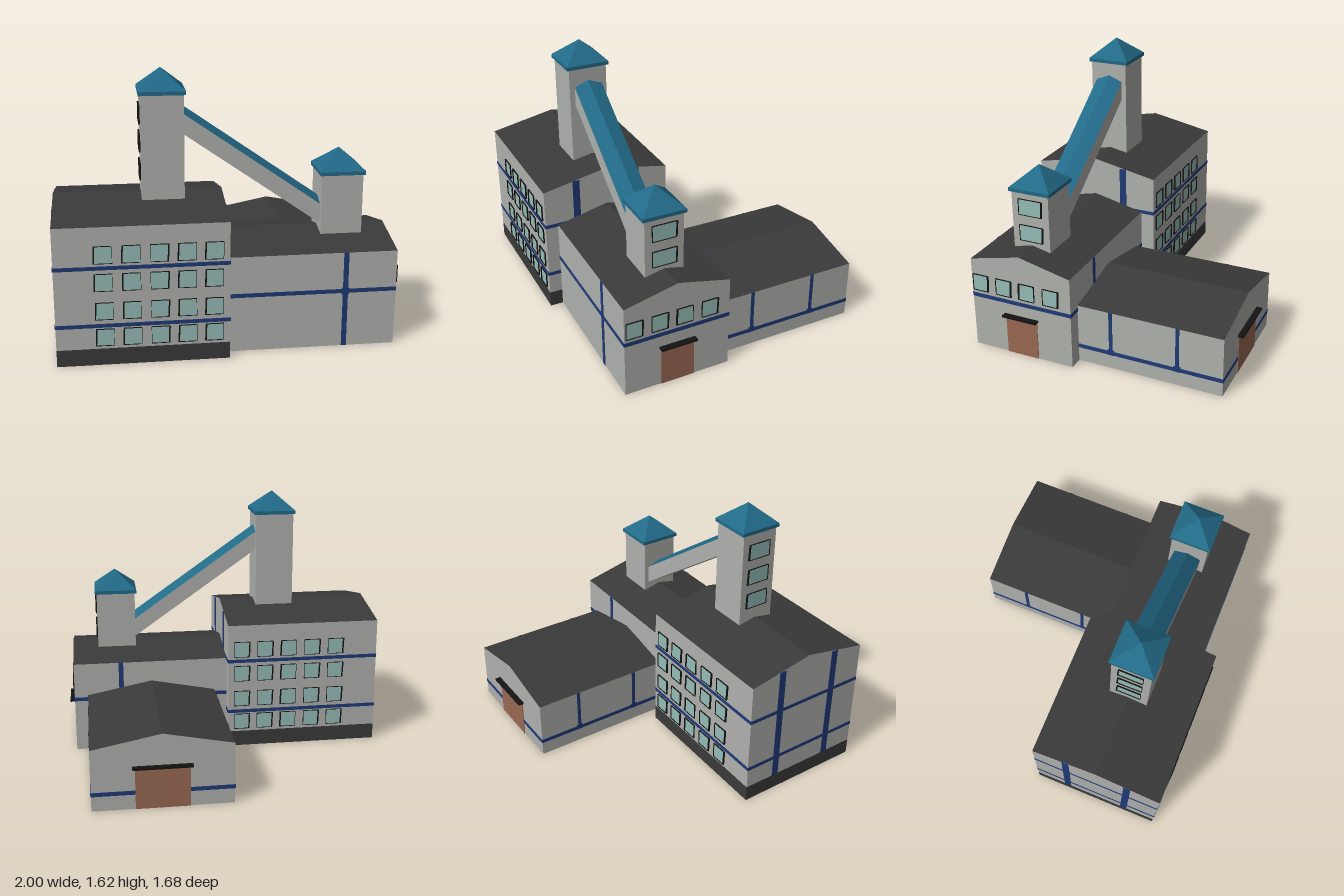
import * as THREE from 'three';

const mat = (name, color, side = THREE.FrontSide) => {
  const m = new THREE.MeshStandardMaterial({ color, side });
  m.name = name;
  return m;
};

export function createModel() {
  const root = new THREE.Group();
  root.name = 'factory';
  const wall = mat('wall grey', 0xb0b2ae, THREE.DoubleSide);
  const dark = mat('roof charcoal', 0x3a3a3a, THREE.DoubleSide);
  const teal = mat('roof teal', 0x226a88, THREE.DoubleSide);
  const blue = mat('stripe blue', 0x1f3a78);
  const glass = mat('window glass', 0x95bdb7);
  const brown = mat('door brown', 0x9a6853);
  const black = mat('frame black', 0x141414);

  const add = (parent, name, geo, material) => {
    const m = new THREE.Mesh(geo, material);
    m.name = name;
    parent.add(m);
    return m;
  };
  // Box given by its minimum and maximum corners
  const box = (parent, name, material, a, b) => {
    const s = a.map((v, i) => b[i] - v);
    const m = add(parent, name, new THREE.BoxGeometry(...s), material);
    m.position.set(...a.map((v, i) => (v + b[i]) / 2));
    return m;
  };
  // Flat-shaded surface from convex polygons
  const polys = (faces) => {
    const out = [];
    for (const f of faces)
      for (let i = 1; i < f.length - 1; i++) out.push(...f[0], ...f[i], ...f[i + 1]);
    const g = new THREE.BufferGeometry();
    g.setAttribute('position', new THREE.Float32BufferAttribute(out, 3));
    g.computeVertexNormals();
    return g;
  };

  // Open-bottomed hall with its ridge along local x
  const hall = (name, len, width, eave, ridge, base, ends) => {
    const g = new THREE.Group();
    g.name = name;
    root.add(g);
    const l = len / 2, w = width / 2;
    const sides = (lo, hi) => [
      [[-l, lo, w], [l, lo, w], [l, hi, w], [-l, hi, w]],
      [[l, lo, -w], [-l, lo, -w], [-l, hi, -w], [l, hi, -w]],
    ];
    const faces = sides(base, eave);
    const plinth = sides(0, base);
    for (const s of ends) {
      faces.push([[s * l, base, s * w], [s * l, base, -s * w], [s * l, eave, -s * w],
        [s * l, ridge, 0], [s * l, eave, s * w]]);
      plinth.push([[s * l, 0, s * w], [s * l, 0, -s * w], [s * l, base, -s * w], [s * l, base, s * w]]);
    }
    add(g, name + 'Walls', polys(faces), wall);
    if (base > 0) add(g, name + 'Plinth', polys(plinth), dark);
    add(g, name + 'Roof', polys([
      [[-l, eave, w], [l, eave, w], [l, ridge, 0], [-l, ridge, 0]],
      [[l, eave, -w], [-l, eave, -w], [-l, ridge, 0], [l, ridge, 0]],
    ]), dark);
    return g;
  };

  const T = 0.003; // half thickness of painted strips
  const stripX = (p, x0, x1, y0, y1, z) => box(p, 'stripe', blue, [x0, y0, z - T], [x1, y1, z + T]);
  const stripZ = (p, x, y0, y1, z0, z1) => box(p, 'stripe', blue, [x - T, y0, z0], [x + T, y1, z1]);

  // Window facing local +z; hinge is the side with the heavier frame bar
  const window_ = (x, y, z, turn, w, h, hinge) => {
    const g = new THREE.Group();
    g.name = 'window';
    g.position.set(x, y, z);
    g.rotation.y = turn;
    root.add(g);
    box(g, 'windowPane', glass, [-w / 2, -h / 2, -T], [w / 2, h / 2, T]);
    for (const s of [-1, 1]) {
      box(g, 'frameRail', black, [-w / 2, s * h / 2 - 0.001, 0], [w / 2, s * h / 2 + 0.001, 0.009]);
      const t = s === hinge ? 0.004 : 0.001;
      const post = box(g, 'framePost', black, [s * w / 2 - t, -h / 2, 0], [s * w / 2 + t, h / 2, 0.009]);
      if (s === hinge) post.rotation.z = -0.04;
    }
  };

  // Tall mill: plinth, two belts all round, two uprights on each gable
  const mill = hall('mill', 0.98, 0.82, 0.82, 0.9, 0.1, [-1, 1]);
  mill.position.set(-0.51, 0, 0.42);
  for (const y of [0.24, 0.582]) {
    for (const s of [-1, 1]) {
      stripX(mill, -0.49, 0.49, y - 0.011, y + 0.011, s * 0.41);
      stripZ(mill, s * 0.49, y - 0.011, y + 0.011, -0.41, 0.41);
    }
  }
  for (const s of [-1, 1]) for (const z of [-0.195, 0.2])
    stripZ(mill, s * 0.49, 0.1, 0.858, z - 0.022, z + 0.022);
  const columns = [-0.725, -0.57, -0.415, -0.26, -0.108];
  for (const y of [0.17, 0.328, 0.498, 0.66]) {
    columns.forEach((x, i) => {
      const hinge = i === 2 ? 1 : -1;
      window_(x, y, 0.83, 0, 0.1, 0.1, hinge);
      window_(x, y, 0.01, Math.PI, 0.1, 0.1, -hinge);
    });
  }

  // Middle hall: one belt, upright on each long side, gable windows
  const middle = hall('middleHall', 0.985, 0.655, 0.58, 0.655, 0, [1]);
  middle.position.set(0.4725, 0, 0.4225);
  for (const s of [-1, 1]) {
    stripX(middle, -0.4925, 0.4925, 0.333, 0.357, s * 0.3275);
    stripX(middle, 0.177, 0.207, 0, 0.58, s * 0.3275);
    stripX(middle, 0.17, 0.214, 0.325, 0.365, s * 0.3275);
  }
  stripZ(middle, 0.4925, 0.333, 0.357, -0.3275, 0.3275);
  [0.69, 0.535, 0.38, 0.223].forEach((z, i) =>
    window_(0.965, 0.432, z, Math.PI / 2, 0.1, 0.104, i === 2 ? -1 : 1));
  box(root, 'sideDoor', brown, [0.961, 0, 0.32], [0.969, 0.25, 0.528]);
  box(root, 'sideDoorCanopy', black, [0.962, 0.25, 0.312], [1.0, 0.262, 0.538]);

  // Rear hall, ridge running front to back
  const rear = hall('rearHall', 0.9, 0.82, 0.37, 0.45, 0, [1]);
  rear.position.set(0.47, 0, -0.355);
  rear.rotation.y = Math.PI / 2;
  for (const s of [-1, 1]) {
    stripX(rear, -0.45, 0.45, 0.09, 0.114, s * 0.41);
    for (const x of [-0.24, 0.175]) {
      stripX(rear, x - 0.011, x + 0.011, 0.1, 0.37, s * 0.41);
      stripX(rear, x - 0.02, x + 0.02, 0.088, 0.124, s * 0.41);
    }
    stripZ(rear, 0.45, 0.09, 0.114, s > 0 ? 0.155 : -0.41, s > 0 ? 0.41 : -0.155);
  }
  box(root, 'rearDoor', brown, [0.315, 0, -0.809], [0.63, 0.25, -0.801]);
  box(root, 'rearDoorCanopy', black, [0.3, 0.25, -0.84], [0.645, 0.262, -0.802]);

  // Square towers with pyramid caps
  const tower = (name, x, y0, y1, apex) => {
    const g = new THREE.Group();
    g.name = name;
    g.position.set(x, 0, 0.425);
    root.add(g);
    box(g, name + 'Shaft', wall, [-0.123, y0, -0.12], [0.123, y1, 0.12]);
    box(g, name + 'Eaves', teal, [-0.134, y1, -0.134], [0.134, y1 + 0.022, 0.134]);
    const h = apex - y1 - 0.022;
    const cap = new THREE.ConeGeometry(0.134 * Math.SQRT2, h, 4, 1, true).toNonIndexed();
    cap.rotateY(Math.PI / 4);
    cap.computeVertexNormals();
    add(g, name + 'Cap', cap, teal).position.y = y1 + 0.022 + h / 2;
  };
  tower('tallTower', -0.37, 0.86, 1.48, 1.62);
  tower('shortTower', 0.678, 0.61, 0.985, 1.125);
  for (const y of [1.03, 1.195, 1.36]) window_(-0.493, y, 0.425, -Math.PI / 2, 0.15, 0.1, -1);
  for (const y of [0.73, 0.895]) window_(0.801, y, 0.425, Math.PI / 2, 0.15, 0.1, 1);

  // Sloping conveyor gallery between the towers
  const xa = -0.248, xb = 0.557, ya = 1.365, yb = 0.802, za = 0.335, zb = 0.512, zm = 0.4235;
  const gallery = new THREE.Group();
  gallery.name = 'conveyorGallery';
  root.add(gallery);
  const d = 0.118, r = 0.034;
  add(gallery, 'galleryWalls', polys([
    [[xa, ya - d, zb], [xb, yb - d, zb], [xb, yb, zb], [xa, ya, zb]],
    [[xb, yb - d, za], [xa, ya - d, za], [xa, ya, za], [xb, yb, za]],
    [[xa, ya - d, za], [xb, yb - d, za], [xb, yb - d, zb], [xa, ya - d, zb]],
  ]), wall);
  add(gallery, 'galleryRoof', polys([
    [[xa, ya, zb], [xb, yb, zb], [xb, yb + r, zm], [xa, ya + r, zm]],
    [[xb, yb, za], [xa, ya, za], [xa, ya + r, zm], [xb, yb + r, zm]],
  ]), teal);

  return root;
}
